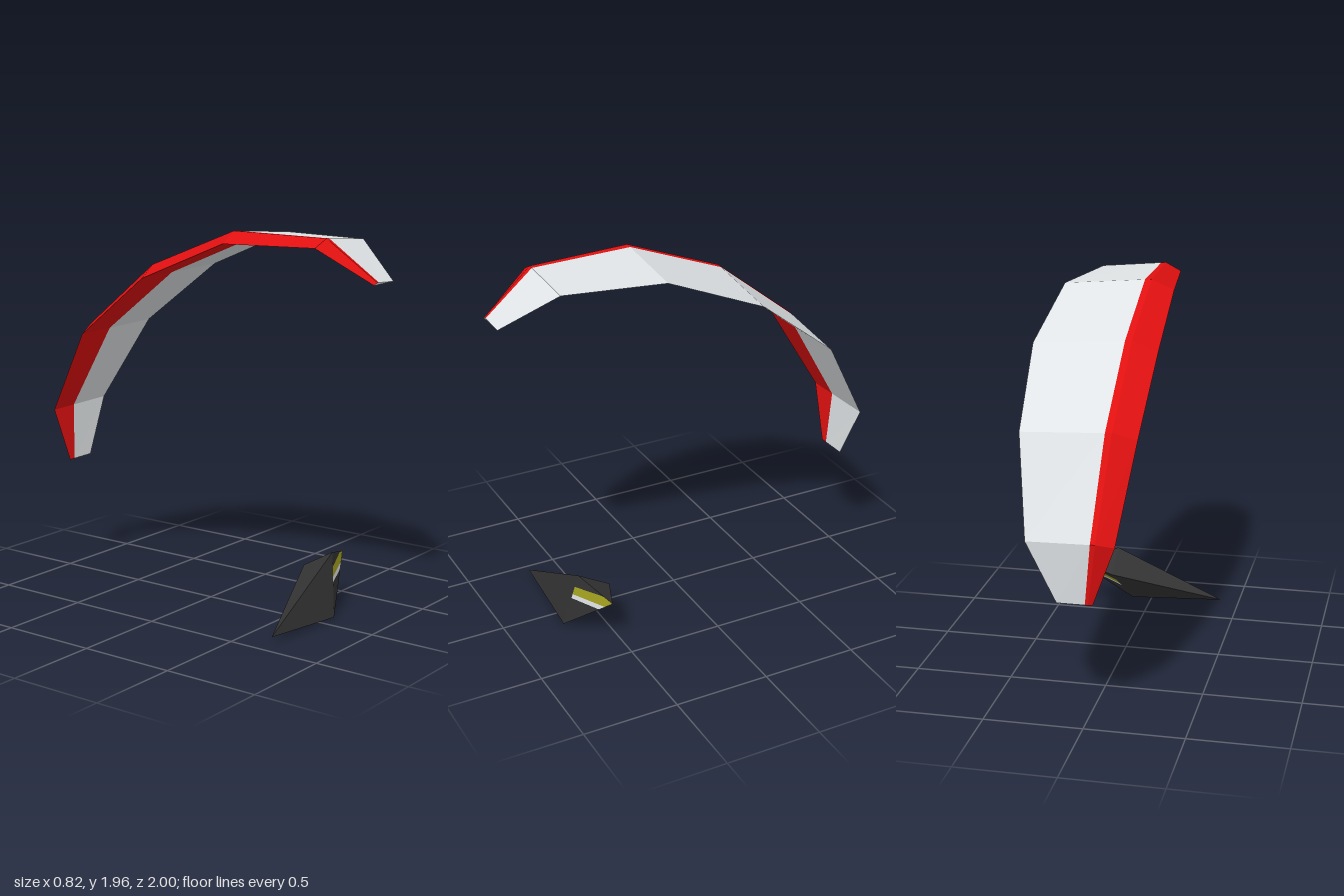
import * as THREE from 'three';

const mat = (name, color) => Object.assign(new THREE.MeshStandardMaterial({ color }), { name });
const V = (x, y, z) => new THREE.Vector3(x, y, z);
const mix = (a, b, t) => a.clone().lerp(b, t);

// Flat faces from convex polygons, each turned to face away from its centre point
function facetMesh(name, material, faces) {
  const pos = [];
  for (const { pts, centre } of faces) {
    const mid = pts.reduce((s, p) => s.add(p), V(0, 0, 0)).divideScalar(pts.length);
    const normal = V(0, 0, 0);
    for (let i = 1; i < pts.length - 1; i++) {
      normal.add(pts[i].clone().sub(pts[0]).cross(pts[i + 1].clone().sub(pts[0])));
    }
    const ring = normal.dot(mid.sub(centre)) < 0 ? [...pts].reverse() : pts;
    for (let i = 1; i < ring.length - 1; i++) {
      for (const p of [ring[0], ring[i], ring[i + 1]]) pos.push(p.x, p.y, p.z);
    }
  }
  const geo = new THREE.BufferGeometry();
  geo.setAttribute('position', new THREE.Float32BufferAttribute(pos, 3));
  geo.computeVertexNormals();
  const mesh = new THREE.Mesh(geo, material);
  mesh.name = name;
  return mesh;
}

function createCanopy(red, white) {
  // Arc stations: outer z, outer y, inner z, inner y
  const arc = [
    [1.0, 1.755, 0.995, 1.742], [0.74, 1.952, 0.73, 1.91], [0.21, 1.96, 0.225, 1.905],
    [-0.305, 1.758, -0.275, 1.70], [-0.74, 1.41, -0.70, 1.37],
    [-1.0, 0.943, -0.96, 0.92], [-0.962, 0.625, -0.95, 0.62],
  ];
  // Chord x from tip to middle: leading edge, crest, top seam, bottom seam, trailing edge
  const chord = [
    [-0.04, -0.02, -0.005, -0.003, 0.135], [-0.15, -0.065, -0.04, 0.015, 0.28],
    [-0.205, -0.09, -0.055, 0.025, 0.37], [-0.22, -0.095, -0.06, 0.03, 0.41],
  ];
  const ribs = arc.map(([oz, oy, iz, iy], i) => {
    const [xl, xc, xk, xb, xt] = chord[Math.min(i, 6 - i)];
    const lead = V(xl, iy, iz), crest = V(xc, oy, oz);
    const trail = V(xt, iy + 0.3 * (oy - iy), iz + 0.3 * (oz - iz));
    const seamTop = mix(crest, trail, (xk - xc) / (xt - xc));
    const seamBottom = mix(lead, trail, (xb - xl) / (xt - xl));
    return [lead, crest, seamTop, trail, seamBottom];
  });
  const centreOf = (...rings) => {
    const all = rings.flat();
    return all.reduce((s, p) => s.add(p), V(0, 0, 0)).divideScalar(all.length);
  };
  const redFaces = [], whiteFaces = [];
  for (let i = 0; i < 6; i++) {
    const a = ribs[i], b = ribs[i + 1], centre = centreOf(a, b);
    for (let j = 0; j < 5; j++) {
      const k = (j + 1) % 5;
      const list = j === 2 || j === 3 ? whiteFaces : redFaces;
      list.push({ pts: [a[j], a[k], b[k], b[j]], centre });
    }
  }
  // Closed wing tips
  whiteFaces.push({ pts: ribs[0], centre: centreOf(ribs[1]) }, { pts: ribs[6], centre: centreOf(ribs[5]) });
  const group = new THREE.Group();
  group.name = 'canopy';
  group.add(facetMesh('leadingEdgePanels', red, redFaces), facetMesh('mainPanels', white, whiteFaces));
  return group;
}

function createHarness(black, yellow, white) {
  const foot = V(-0.41, 0.035, 0.68), top = V(0.18, 0.32, 0.645), nose = V(0.41, 0.255, 0.56);
  const keel = V(0.11, 0, 0.705), back = V(0.18, 0.22, 0.47);
  const centre = V(0.1, 0.16, 0.61);
  const blackFaces = [], yellowFaces = [], whiteFaces = [];
  const add = (list, ...pts) => list.push({ pts, centre });

  // Pod shell
  add(blackFaces, foot, top, keel);
  add(blackFaces, foot, top, back);
  add(blackFaces, foot, back, keel);
  add(blackFaces, top, nose, back);

  // Striped nose panels on both sides of the keel
  for (const side of [top, back]) {
    const rear = (t) => mix(side, keel, t);
    const front = (t) => mix(nose, keel, t);
    const upper = mix(side, nose, 0.75);
    add(blackFaces, side, upper, rear(0.23));
    add(yellowFaces, rear(0.23), upper, nose, front(0.15), rear(0.38));
    add(whiteFaces, rear(0.38), front(0.15), front(0.27), rear(0.46));
    add(blackFaces, rear(0.46), front(0.27), keel);
  }
  const group = new THREE.Group();
  group.name = 'harness';
  group.add(
    facetMesh('podShell', black, blackFaces),
    facetMesh('wideStripes', yellow, yellowFaces),
    facetMesh('narrowStripes', white, whiteFaces),
  );
  return group;
}

export function createModel() {
  const red = mat('red', 0xe01010), white = mat('white', 0xdfe3e5);
  const black = mat('black', 0x333333), yellow = mat('yellow', 0xa5a31f);
  const model = new THREE.Group();
  model.name = 'paraglider';
  model.add(createCanopy(red, white), createHarness(black, yellow, white));
  return model;
}
